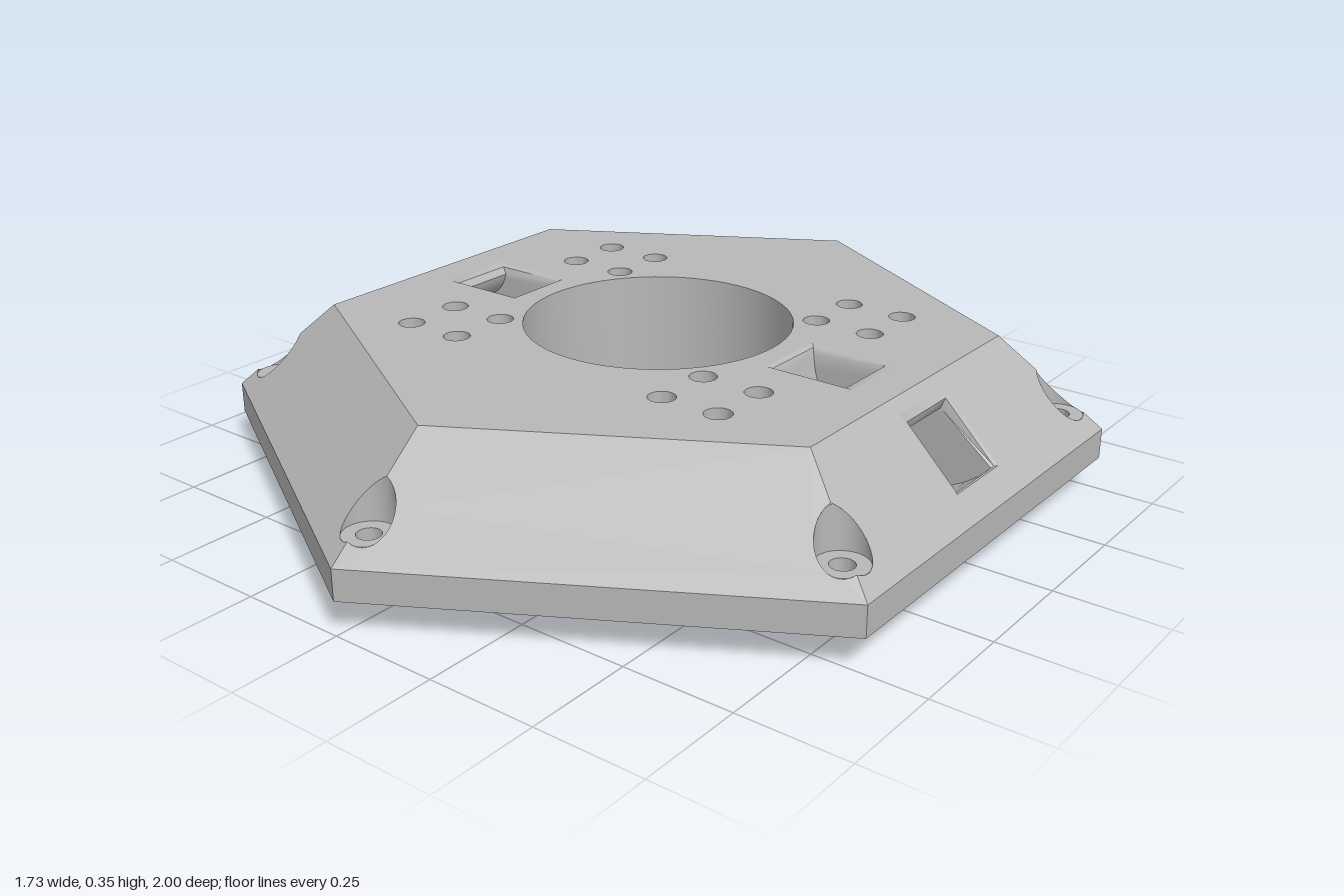
import * as THREE from 'three';
import { toCreasedNormals } from 'three/addons/utils/BufferGeometryUtils.js';

const V = (x, y) => new THREE.Vector2(x, y);
const COS30 = Math.cos(Math.PI / 6);

// Heights and radii of the hexagonal plate
const RIM_LOW = 0.075, RIM_HIGH = 0.145, TOP = 0.355;
const FOOT_R = 0.826, TOP_R = 0.757;
const BORE_R = 0.305, BORE_FLOOR = 0.105;
const SCREW_AT = 0.9, SCREW_R = 0.026, POCKET_R = 0.055, POCKET_FLOOR = 0.178;
const SLOT_W = 0.088;

// Points on an arc; z is the second coordinate
function arc(cx, cz, r, from = 0, to = Math.PI * 2, n = 32) {
  const full = Math.abs(to - from - Math.PI * 2) < 1e-6;
  return Array.from({ length: full ? n : n + 1 }, (_, i) => {
    const a = from + ((to - from) * i) / n;
    return V(cx + r * Math.cos(a), cz + r * Math.sin(a));
  });
}
const hexagon = (r) => arc(0, 0, r, Math.PI / 6, Math.PI / 6 + Math.PI * 2, 6);
const rect = (x0, x1, z) => [V(x0, -z), V(x1, -z), V(x1, z), V(x0, z)];

// Height of the sloping faces above a plan position
function bevelHeight(p) {
  let d = 0;
  for (let k = 0; k < 6; k++) {
    const a = (k * Math.PI) / 3;
    d = Math.max(d, p.x * Math.cos(a) + p.y * Math.sin(a));
  }
  return RIM_HIGH + ((COS30 - d) * (TOP - RIM_HIGH)) / (COS30 * (1 - TOP_R));
}

function shapeGeometry(outline, holes) {
  const shape = new THREE.Shape(outline);
  shape.holes = holes.map((h) => new THREE.Path(h));
  return new THREE.ShapeGeometry(shape);
}

// Horizontal face with holes, facing up or down
function flat(outline, holes, y, up = true) {
  const g = shapeGeometry(outline, holes);
  return g.rotateX(up ? -Math.PI / 2 : Math.PI / 2).translate(0, y, 0);
}

// Skin joining a list of closed loops of Vector3
function loft(loops) {
  const n = loops[0].length, index = [];
  for (let j = 0; j < loops.length - 1; j++) {
    for (let i = 0; i < n; i++) {
      const a = j * n + i, b = j * n + ((i + 1) % n);
      index.push(a, a + n, b, b, a + n, b + n);
    }
  }
  const g = new THREE.BufferGeometry().setFromPoints(loops.flat());
  g.setIndex(index);
  return toCreasedNormals(g, 0.6);
}

// Vertical wall following a plan outline; the top may vary in height
function wall(points, low, high) {
  const top = typeof high === 'function' ? high : () => high;
  return loft([
    points.map((p) => new THREE.Vector3(p.x, low, p.y)),
    points.map((p) => new THREE.Vector3(p.x, top(p), p.y)),
  ]);
}

// One sloping face, notched at both ends by the screw pockets
function bevelFace(k, holes) {
  const u = SCREW_AT / 2, d = SCREW_AT * COS30, t = Math.PI / 3;
  const outline = [
    V(-0.5, COS30), V(0.5, COS30),
    ...arc(u, d, POCKET_R, t, t + Math.PI, 16),
    V(TOP_R / 2, TOP_R * COS30), V(-TOP_R / 2, TOP_R * COS30),
    ...arc(-u, d, POCKET_R, -t, Math.PI - t, 16),
  ];
  const g = shapeGeometry(outline, holes), pos = g.attributes.position;
  const a = k * t, c = Math.cos(a), s = Math.sin(a);
  for (let i = 0; i < pos.count; i++) {
    const p = V(c * pos.getY(i) - s * pos.getX(i), s * pos.getY(i) + c * pos.getX(i));
    pos.setXYZ(i, p.x, bevelHeight(p), p.y);
  }
  g.computeVertexNormals();
  return g;
}

// Curved strap tunnel from the top face to the sloping side, with flared mouths
function strapTunnel() {
  const cx = 0.621, cy = TOP;
  const section = (ox, oy, ix, iy, w) => [
    new THREE.Vector3(ox, oy, -w), new THREE.Vector3(ix, iy, -w),
    new THREE.Vector3(ix, iy, w), new THREE.Vector3(ox, oy, w),
  ];
  const loops = [
    section(0.357, TOP, 0.566, TOP, SLOT_W),
    section(0.366, 0.35, 0.546, 0.35, 0.079),
  ];
  const n = 16;
  for (let i = 0; i <= n; i++) {
    const to = Math.PI + 0.06 + ((Math.PI - 0.78) * i) / n;
    const ti = Math.PI + 0.22 + ((Math.PI - 1.0) * i) / n;
    loops.push(section(
      cx + 0.251 * Math.cos(to), cy + 0.251 * Math.sin(to),
      cx + 0.09 * Math.cos(ti), cy + 0.09 * Math.sin(ti), 0.073));
  }
  loops.push(section(0.813, 0.193, 0.692, 0.314, 0.079));
  const high = bevelHeight(V(0.68, 0)), low = bevelHeight(V(0.818, 0));
  loops.push(section(0.818, low, 0.68, high, SLOT_W));
  return loft(loops);
}

export function createModel() {
  const model = new THREE.Group();
  model.name = 'hexagonalMountingPlate';
  const grey = new THREE.MeshStandardMaterial({ color: 0xb8b8b8, side: THREE.DoubleSide });
  grey.name = 'grey';
  const add = (name, geometry) => {
    const mesh = new THREE.Mesh(geometry, grey);
    mesh.name = name;
    model.add(mesh);
    return mesh;
  };

  // Plan outlines of the openings
  const boltHoles = [];
  for (const sx of [-1, 1]) for (const sz of [-1, 1])
    for (const x of [0.285, 0.425]) for (const z of [0.215, 0.355])
      boltHoles.push(arc(sx * x, sz * z, 0.03, 0, Math.PI * 2, 24));
  const corners = hexagon(SCREW_AT);
  const screwHoles = corners.map((c) => arc(c.x, c.y, SCREW_R, 0, Math.PI * 2, 20));
  const bore = arc(0, 0, BORE_R, 0, Math.PI * 2, 64);
  const flatAngle = Math.asin(0.096 / 0.115);
  const shaftHole = [
    ...arc(0, 0, 0.115, -flatAngle, flatAngle, 14),
    ...arc(0, 0, 0.115, Math.PI - flatAngle, Math.PI + flatAngle, 14),
  ];
  const topSlots = [rect(0.357, 0.566, SLOT_W), rect(-0.566, -0.357, SLOT_W)];

  // Faces of the plate
  add('topFace', flat(hexagon(TOP_R), [bore, ...boltHoles, ...topSlots], TOP));
  for (let k = 0; k < 6; k++) {
    const slot = [V(-SLOT_W, 0.68), V(SLOT_W, 0.68), V(SLOT_W, 0.818), V(-SLOT_W, 0.818)];
    add('slopingFace', bevelFace(k, k % 3 === 0 ? [slot] : []));
  }
  add('rim', wall(hexagon(1), RIM_LOW, RIM_HIGH));
  add('rimUnderside', flat(hexagon(1), [hexagon(FOOT_R), ...screwHoles], RIM_LOW, false));
  add('footWall', wall(hexagon(FOOT_R), 0, RIM_LOW));
  add('footUnderside', flat(hexagon(FOOT_R), [shaftHole, ...boltHoles], 0, false));

  // Central bore with a flat-sided shaft hole
  add('boreWall', wall(bore, BORE_FLOOR, TOP));
  add('boreFloor', flat(bore, [shaftHole], BORE_FLOOR));
  add('shaftHoleWall', wall(shaftHole, 0, BORE_FLOOR));

  for (const hole of boltHoles) add('boltHoleWall', wall(hole, 0, TOP));

  // Counterbored screw pockets at the corners
  corners.forEach((c, i) => {
    const pocket = arc(c.x, c.y, POCKET_R);
    // flat() turns plan z over, so the outlines are mirrored first
    const flip = (pts) => pts.map((p) => V(p.x, -p.y));
    add('screwPocketWall', wall(pocket, POCKET_FLOOR, bevelHeight));
    add('screwPocketFloor', flat(flip(pocket), [flip(screwHoles[i])], POCKET_FLOOR));
    add('screwHoleWall', wall(screwHoles[i], RIM_LOW, POCKET_FLOOR));
  });

  // Strap tunnels on the left and right
  add('leftStrapTunnel', strapTunnel());
  add('rightStrapTunnel', strapTunnel().rotateY(Math.PI));
  return model;
}
